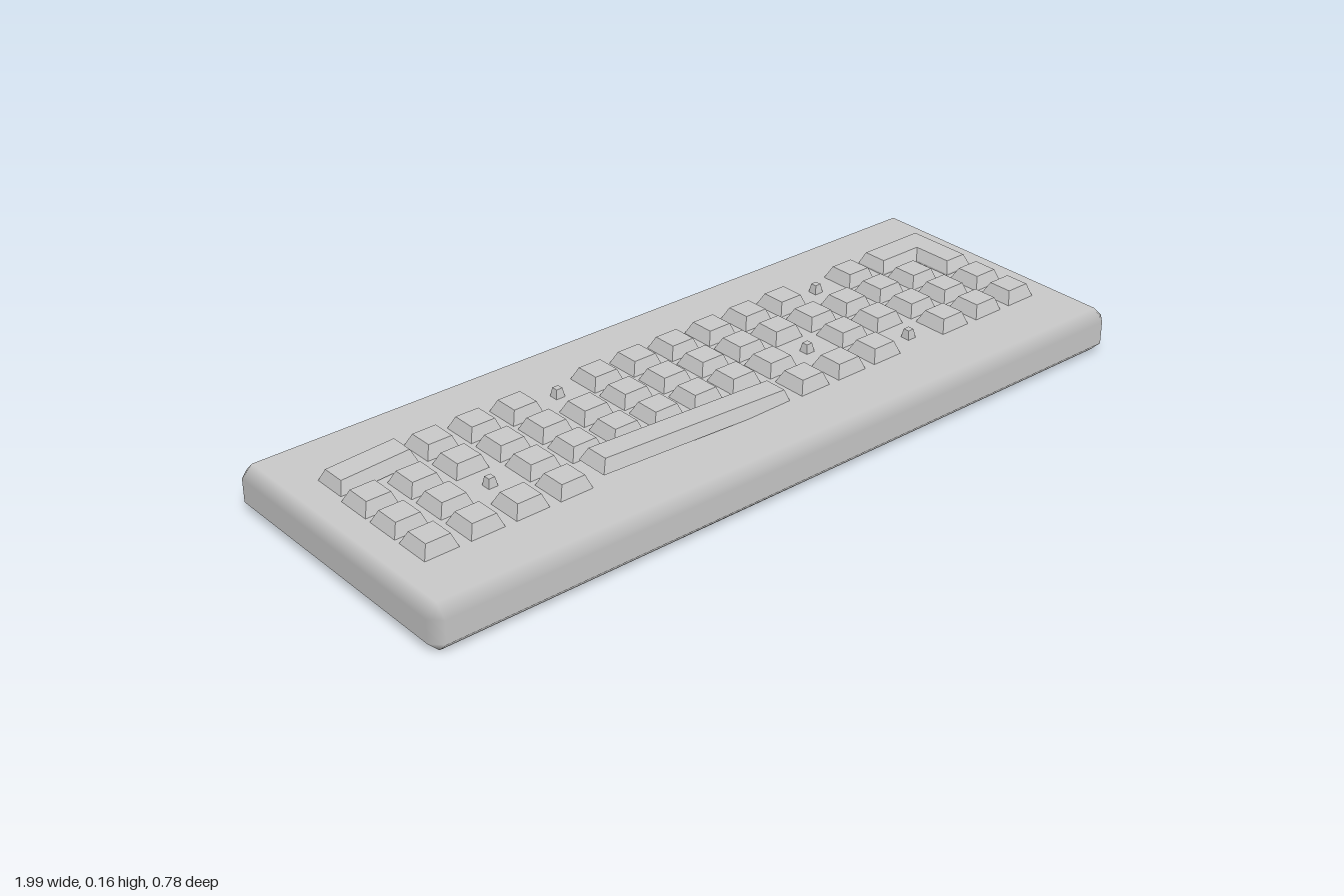
import * as THREE from 'three';
import { ConvexGeometry } from 'three/addons/geometries/ConvexGeometry.js';

const material = new THREE.MeshStandardMaterial({ color: 0xcccccc });
const TOP = 0.112; // height of the case surface
const KEY_H = 0.032;

function add(parent, name, geometry, x = 0, y = 0, z = 0) {
  const mesh = new THREE.Mesh(geometry, material);
  mesh.name = name;
  mesh.position.set(x, y, z);
  parent.add(mesh);
  return mesh;
}

// Box with chamfered edges; corner normals follow the large faces so the chamfers shade smoothly
function chamferBox(w, h, d, c) {
  const half = [w / 2, h / 2, d / 2];
  const points = [];
  for (let axis = 0; axis < 3; axis++)
    for (const sx of [-1, 1]) for (const sy of [-1, 1]) for (const sz of [-1, 1]) {
      const p = [sx, sy, sz].map((s, i) => s * (half[i] - (i === axis ? 0 : c)));
      points.push(new THREE.Vector3(...p));
    }
  const geometry = new ConvexGeometry(points);
  const pos = geometry.attributes.position, nor = geometry.attributes.normal;
  for (let i = 0; i < pos.count; i++) {
    const p = [pos.getX(i), pos.getY(i), pos.getZ(i)];
    const n = p.map((v, k) => (Math.abs(Math.abs(v) - half[k]) < 1e-4 ? Math.sign(v) : 0));
    nor.setXYZ(i, ...n);
  }
  return geometry;
}

// Tapered keycap standing on y = 0, sloping more at the back
function capGeometry(w, d, h = KEY_H, side = 0.012, front = 0.011, back = 0.017) {
  const geometry = new THREE.BoxGeometry(w, h, d).translate(0, h / 2, 0);
  const pos = geometry.attributes.position;
  for (let i = 0; i < pos.count; i++) {
    if (pos.getY(i) < h / 2) continue;
    const x = pos.getX(i), z = pos.getZ(i);
    pos.setX(i, x - Math.sign(x) * side);
    pos.setZ(i, z > 0 ? z - front : z + back);
  }
  const flat = geometry.toNonIndexed();
  flat.computeVertexNormals();
  return flat;
}

export function createModel() {
  const model = new THREE.Group();
  model.name = 'keyboard';

  // Case, turned slightly on the desk
  const body = add(model, 'case', chamferBox(1.973, TOP, 0.738, 0.027), 0, TOP / 2, 0);
  body.rotation.y = -0.0245;

  const keys = new THREE.Group();
  keys.name = 'keys';
  keys.rotation.y = -0.018;
  model.add(keys);

  // Layout: k = key, o = bare switch stem, . = covered by a larger key
  const rows = [
    '..kkkokkkkkkok..',
    'kkkkkkkkkkkkkkk.',
    'kkokkkkkkkokkkkk',
    'kkkk.....kkkokkk',
  ];
  const colX = (c) => -0.855 + 0.1138 * c;
  const rowZ = (r) => -0.155 + 0.105 * r;
  const cap = capGeometry(0.085, 0.089);
  const stem = capGeometry(0.024, 0.024, 0.022, 0.004, 0.004, 0.004);
  rows.forEach((row, r) => [...row].forEach((type, c) => {
    if (type === 'k') add(keys, 'key', cap, colX(c), TOP, rowZ(r));
    if (type === 'o') add(keys, 'switchStem', stem, colX(c), TOP, rowZ(r));
  }));

  // Loose wide key and space bar, each tipped up at one end
  const wide = add(keys, 'wideKey', capGeometry(0.197, 0.088), -0.79, TOP + 0.003, rowZ(0));
  wide.rotation.z = 0.05;
  const space = add(keys, 'spaceBar', capGeometry(0.535, 0.085), -0.173, TOP + 0.006, rowZ(3));
  space.rotation.z = -0.043;

  // L-shaped enter key; its lower bevel is sunk in the case
  const outline = [[0.7, 0.198], [0.7, 0.112], [0.818, 0.112], [0.818, 0.008], [0.9, 0.008], [0.9, 0.198]];
  const enter = new THREE.ExtrudeGeometry(new THREE.Shape(outline.map((p) => new THREE.Vector2(...p))), {
    depth: 0.004, bevelEnabled: true, bevelSegments: 1,
    bevelThickness: 0.028, bevelSize: 0.012, bevelOffset: -0.012,
  });
  enter.rotateX(-Math.PI / 2);
  add(keys, 'enterKey', enter, 0, TOP, 0);

  return model;
}
